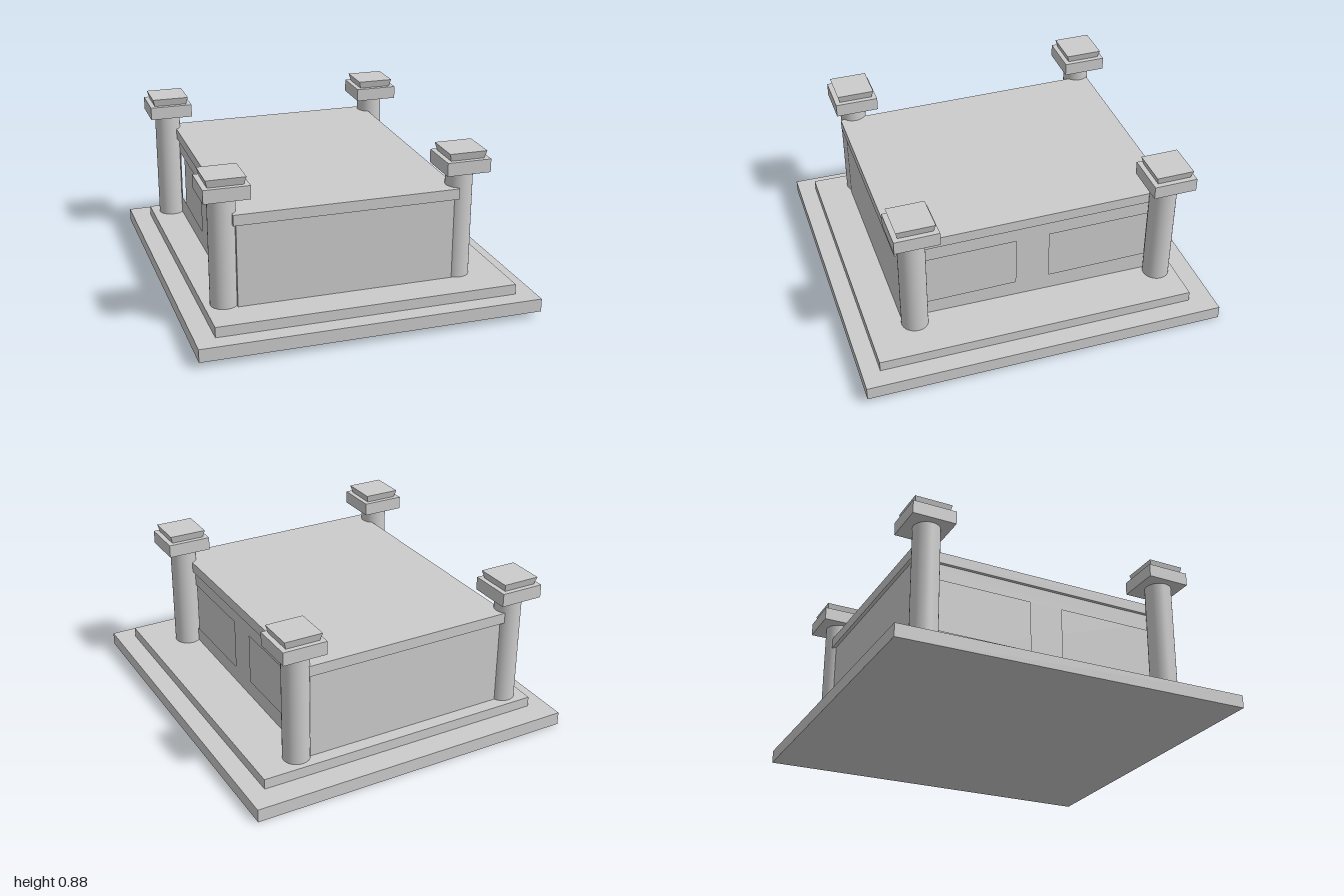
import * as THREE from 'three';

const material = new THREE.MeshStandardMaterial({ color: 0xcccccc });

function mesh(name, geometry, x = 0, y = 0, z = 0) {
  const m = new THREE.Mesh(geometry, material);
  m.name = name;
  m.position.set(x, y, z);
  return m;
}

// Box given by its extents along each axis
function block(name, [x0, x1], [y0, y1], [z0, z1]) {
  return mesh(name, new THREE.BoxGeometry(x1 - x0, y1 - y0, z1 - z0),
    (x0 + x1) / 2, (y0 + y1) / 2, (z0 + z1) / 2);
}

// Plinth slab that rises slightly to the front and leans a little sideways
function slopedSlab(name, xs, ys, zs) {
  const slab = block(name, xs, ys, zs);
  slab.geometry.translate(...slab.position.toArray());
  slab.position.set(0, 0, 0);
  const p = slab.geometry.attributes.position;
  for (let i = 0; i < p.count; i++) {
    const z = p.getZ(i);
    p.setXYZ(i, p.getX(i) + 0.006 * z, p.getY(i) + 0.0175 * z, z);
  }
  slab.geometry.computeVertexNormals();
  return slab;
}

// Side wall skin with two rectangular openings that leave recessed panels
function panelledSide(name, x, depth) {
  const rect = (path, z0, z1, y0, y1) => {
    path.moveTo(-z0, y0);
    path.lineTo(-z1, y0);
    path.lineTo(-z1, y1);
    path.lineTo(-z0, y1);
    path.closePath();
    return path;
  };
  const wall = rect(new THREE.Shape(), -0.79, 0.71, 0.1, 0.62);
  for (const [z0, z1] of [[-0.70, -0.13], [0.06, 0.63]]) {
    wall.holes.push(rect(new THREE.Path(), z0, z1, 0.24, 0.525));
  }
  const geometry = new THREE.ExtrudeGeometry(wall, { depth, bevelEnabled: false });
  geometry.rotateY(Math.PI / 2);
  return mesh(name, geometry, x, 0, 0);
}

// Round post with a square cap and a flared top plate
function cornerPost(x, z) {
  const post = new THREE.Group();
  post.name = 'cornerPost';
  post.position.set(x, 0, z);
  const plate = new THREE.CylinderGeometry(0.104 * Math.SQRT2, 0.093 * Math.SQRT2, 0.042, 4)
    .toNonIndexed();
  plate.rotateY(Math.PI / 4);
  plate.computeVertexNormals();
  post.add(
    mesh('postShaft', new THREE.CylinderGeometry(0.073, 0.073, 0.67, 32), -0.006, 0.435, 0.004),
    mesh('postCap', new THREE.BoxGeometry(0.242, 0.073, 0.24), 0, 0.8015, 0),
    mesh('postTopPlate', plate, 0, 0.859, 0)
  );
  return post;
}

export function createModel() {
  const model = new THREE.Group();
  model.name = 'tomb';

  // Stepped plinth
  model.add(
    slopedSlab('plinthBase', [-0.927, 0.921], [0.0195, 0.092], [-1, 1]),
    slopedSlab('plinthStep', [-0.82, 0.815], [0.085, 0.149], [-0.863, 0.902])
  );

  // Chest with recessed panels on both long sides, and its lid
  const depth = 0.04;
  model.add(
    block('chestCore', [-0.65 + depth, 0.53 - depth], [0.1, 0.62], [-0.79, 0.71]),
    panelledSide('leftPanelWall', 0.53 - depth, depth),
    panelledSide('rightPanelWall', -0.65, depth),
    block('lid', [-0.668, 0.55], [0.618, 0.677], [-0.81, 0.73])
  );

  // Four corner posts
  for (const x of [-0.703, 0.583]) {
    for (const z of [-0.763, 0.643]) model.add(cornerPost(x, z));
  }
  return model;
}
